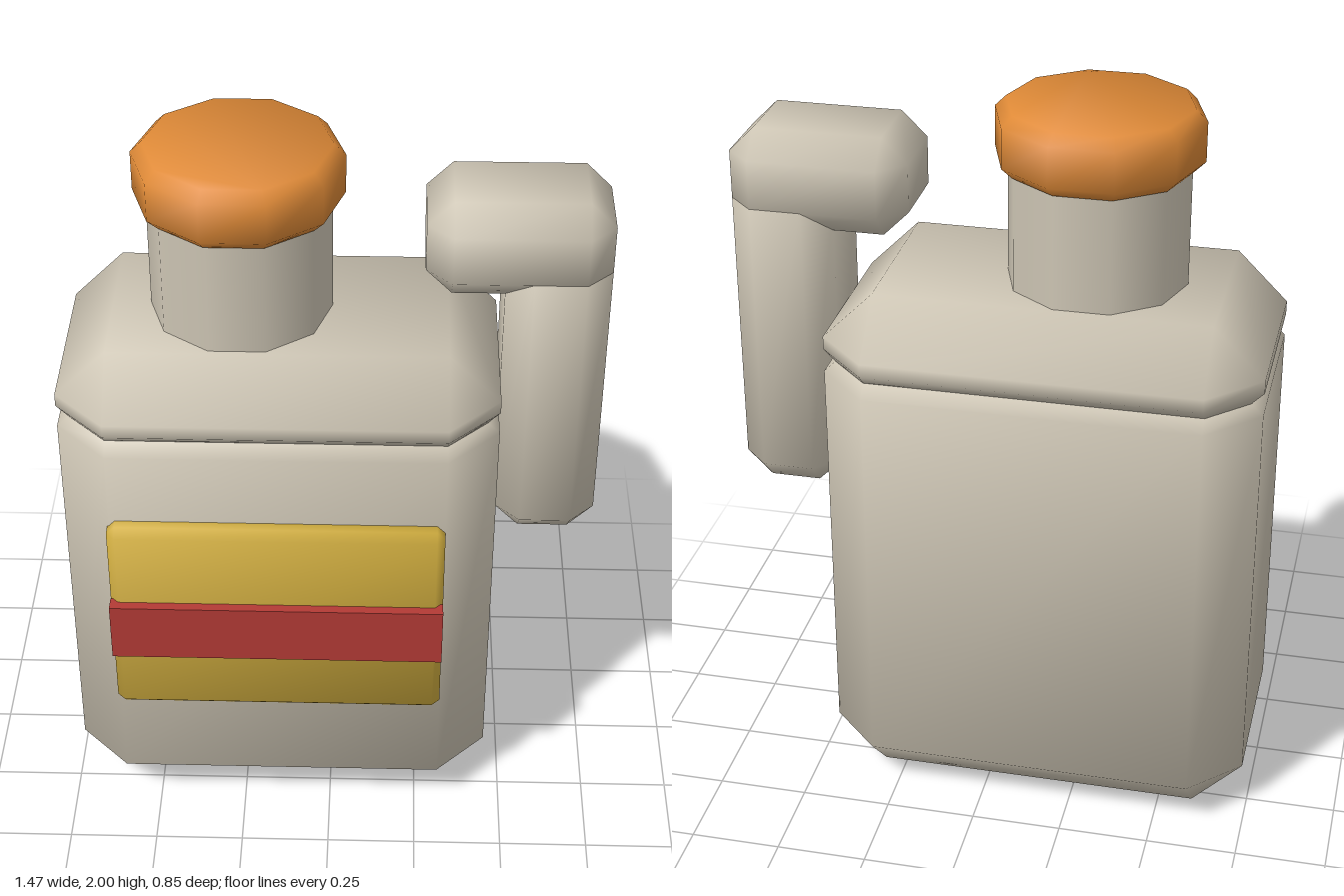
import * as THREE from 'three';

const paint = (name, color) => {
  const m = new THREE.MeshStandardMaterial({ color });
  m.name = name;
  return m;
};

// Closed solid through rings of points (bottom to top), smoothed with equal weight per face
function loft(rings) {
  const key = (p) => p.toArray().map((v) => v.toFixed(4)).join();
  const polys = [[...rings[0]].reverse(), rings[rings.length - 1]];
  for (let r = 0; r < rings.length - 1; r++) {
    const a = rings[r], b = rings[r + 1], n = a.length;
    for (let i = 0; i < n; i++) polys.push([a[i], a[(i + 1) % n], b[(i + 1) % n], b[i]]);
  }
  const normals = new Map(), faces = [];
  for (const poly of polys) {
    // drop repeated corners, so pinched quads become triangles
    const f = poly.filter((p, i) => key(p) !== key(poly[(i + 1) % poly.length]));
    if (f.length < 3) continue;
    const n = new THREE.Vector3();
    f.forEach((p, i) => n.add(p.clone().cross(f[(i + 1) % f.length])));
    n.normalize();
    for (const p of f) {
      if (!normals.has(key(p))) normals.set(key(p), new THREE.Vector3());
      normals.get(key(p)).add(n);
    }
    faces.push(f);
  }
  const pos = [], nor = [];
  for (const f of faces) {
    for (let i = 1; i < f.length - 1; i++) {
      for (const p of [f[0], f[i], f[i + 1]]) {
        pos.push(p.x, p.y, p.z);
        nor.push(...normals.get(key(p)).clone().normalize().toArray());
      }
    }
  }
  const g = new THREE.BufferGeometry();
  g.setAttribute('position', new THREE.Float32BufferAttribute(pos, 3));
  g.setAttribute('normal', new THREE.Float32BufferAttribute(nor, 3));
  return g;
}

// Box with cut vertical corners (c) and its own bevel at the bottom and top
function chamferBox([x0, x1], [y0, y1], [z0, z1], c, bottom = c, top = c) {
  const cx = (x0 + x1) / 2, cz = (z0 + z1) / 2, hx = (x1 - x0) / 2, hz = (z1 - z0) / 2;
  const ring = (y, d) => [
    [hx - c, hz - d], [hx - d, hz - c], [hx - d, c - hz], [hx - c, d - hz],
    [c - hx, d - hz], [d - hx, c - hz], [d - hx, hz - c], [c - hx, hz - d],
  ].map(([x, z]) => new THREE.Vector3(cx + x, y, cz + z));
  return loft([ring(y0, bottom), ring(y0 + bottom, 0), ring(y1 - top, 0), ring(y1, top)]);
}

// Ten-sided turned solid from [radius, y] pairs
function turned(profile, x, z) {
  return loft(profile.map(([r, y]) => Array.from({ length: 10 }, (_, i) => {
    const a = (i + 0.5) * Math.PI / 5;
    return new THREE.Vector3(x + r * Math.sin(a), y, z + r * Math.cos(a));
  })));
}

export function createModel() {
  const grey = paint('warm grey', 0xccc4b3);
  const orange = paint('cap orange', 0xdf8a37);
  const yellow = paint('label yellow', 0xd0ad3f);
  const red = paint('stripe red', 0xb33a35);

  const group = new THREE.Group();
  group.name = 'flask';
  const add = (name, geometry, material) => {
    const mesh = new THREE.Mesh(geometry, material);
    mesh.name = name;
    group.add(mesh);
    return mesh;
  };

  // Body and sloping shoulder, with a small groove between them
  const bx = [-0.735, 0.453], bz = [-0.425, 0.345];
  add('body', chamferBox(bx, [0, 1.3], bz, 0.14, 0.14, 0.033), grey);
  add('shoulder', chamferBox(bx, [1.3, 1.51], bz, 0.14, 0.033, 0.14), grey);

  // Neck and cap
  const neckX = -0.246, neckZ = -0.04;
  const neck = new THREE.CylinderGeometry(0.246, 0.246, 0.42, 10, 1, false, Math.PI / 10);
  add('neck', neck, grey).position.set(neckX, 1.66, neckZ);
  add('cap', turned([[0.25, 1.83], [0.28, 1.86], [0.28, 1.97], [0.25, 2]], neckX, neckZ), orange);

  // Hooked handle: upright bar and arm
  const hz = [-0.215, 0.135];
  add('handleUpright', chamferBox([0.455, 0.735], [0.845, 1.76], hz, 0.07), grey);
  add('handleArm', chamferBox([0.245, 0.735], [1.62, 1.895], hz, 0.07), grey);

  // Front label with a raised stripe
  add('label', chamferBox([-0.6, 0.313], [0.425, 1.055], [0.3, 0.395], 0.022), yellow);
  const stripe = new THREE.BoxGeometry(0.913, 0.175, 0.042);
  add('labelStripe', stripe, red).position.set(-0.1435, 0.722, 0.401);

  return group;
}
